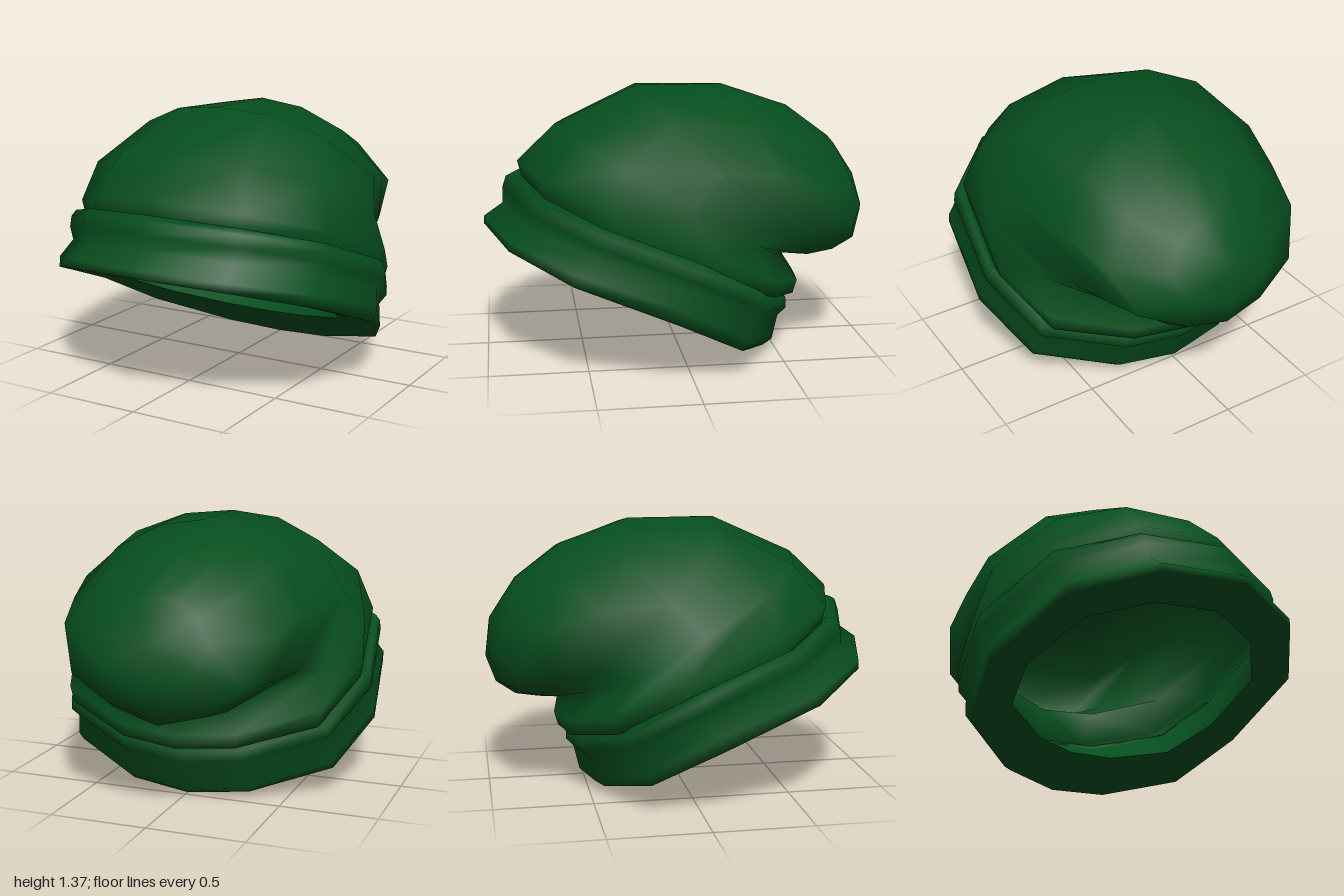
import * as THREE from 'three';
import { mergeVertices } from 'three/addons/utils/BufferGeometryUtils.js';

// Half outlines from front to back: relative width, position along the ring, upward bow
const OVAL = { x: [0, 0.53, 0.91, 1, 0.845, 0.38, 0], t: [0, 0.083, 0.285, 0.62, 0.845, 0.97, 1] };
const DOME = { x: [0, 0.37, 0.72, 1, 0.82, 0.4, 0], t: [0, 0.027, 0.13, 0.37, 0.73, 0.93, 1] };
const BOW = [0, 0.2, 0.6, 1, 0.5, 0.1, 0];

// Ring: front z, front y, back z, back y, half width, bow height, blend from oval to dome
function ringPoints([fz, fy, bz, by, w, bow, dome]) {
  const pts = [];
  for (let i = 0; i < 12; i++) {
    const k = i <= 6 ? i : 12 - i;
    const side = i <= 6 ? 1 : -1;
    const t = THREE.MathUtils.lerp(OVAL.t[k], DOME.t[k], dome);
    const x = THREE.MathUtils.lerp(OVAL.x[k], DOME.x[k], dome);
    pts.push(side * w * x, fy + (by - fy) * t + bow * BOW[k], fz + (bz - fz) * t);
  }
  return pts;
}

// Skin a stack of rings with smooth normals
function loft(name, rings, material) {
  const index = [];
  for (let r = 0; r < rings.length - 1; r++) {
    for (let i = 0; i < 12; i++) {
      const j = (i + 1) % 12;
      const a = r * 12 + i, b = r * 12 + j, c = b + 12, d = a + 12;
      index.push(a, b, c, a, c, d);
    }
  }
  let geo = new THREE.BufferGeometry();
  geo.setAttribute('position', new THREE.Float32BufferAttribute(rings.flatMap(ringPoints), 3));
  geo.setIndex(index);
  geo = mergeVertices(geo);
  geo.computeVertexNormals();
  const mesh = new THREE.Mesh(geo, material);
  mesh.name = name;
  return mesh;
}

export function createModel() {
  const wool = new THREE.MeshStandardMaterial({ color: 0x064e1e, side: THREE.DoubleSide });
  wool.name = 'green wool';
  const hat = new THREE.Group();
  hat.name = 'slouchyHat';

  const rim = [0.79, 0.595, -0.3, 0.165, 0.63, 0.03, 0];
  const seam = [0.79, 0.9, -0.54, 0.29, 0.78, 0.06, 0];

  // Folded brim with a groove between its two rolls
  hat.add(loft('brim', [
    rim,
    [1.0, 0.66, -0.47, 0.0, 0.83, 0.08, 0],
    [1.0, 0.7, -0.52, 0.03, 0.835, 0.11, 0],
    [0.9, 0.77, -0.55, 0.16, 0.805, 0.09, 0],
    [0.9, 0.85, -0.59, 0.2, 0.835, 0.08, 0],
    [0.88, 0.91, -0.59, 0.25, 0.835, 0.08, 0],
    [0.84, 0.93, -0.55, 0.31, 0.815, 0.08, 0],
    seam,
  ], wool));

  // Inner wall of the brim
  hat.add(loft('brimLining', [seam, rim], wool));

  // Crown that slumps backwards into a hanging pouch, with a crease underneath
  hat.add(loft('crown', [
    seam,
    [0.8, 0.91, -0.63, 0.28, 0.785, 0.04, 0],
    [0.82, 0.99, -0.65, 0.35, 0.805, 0.07, 0],
    [0.62, 1.18, -0.56, 0.49, 0.785, 0.05, 0.4],
    [0.2, 1.37, -0.73, 0.44, 0.71, 0, 1],
    [-0.25, 1.37, -0.85, 0.46, 0.615, -0.06, 1],
    [-0.6, 1.25, -0.95, 0.53, 0.54, -0.09, 1],
    [-0.83, 1.08, -1.0, 0.67, 0.29, -0.05, 1],
    [-0.975, 0.87, -0.975, 0.87, 0, 0, 1],
  ], wool));

  return hat;
}
